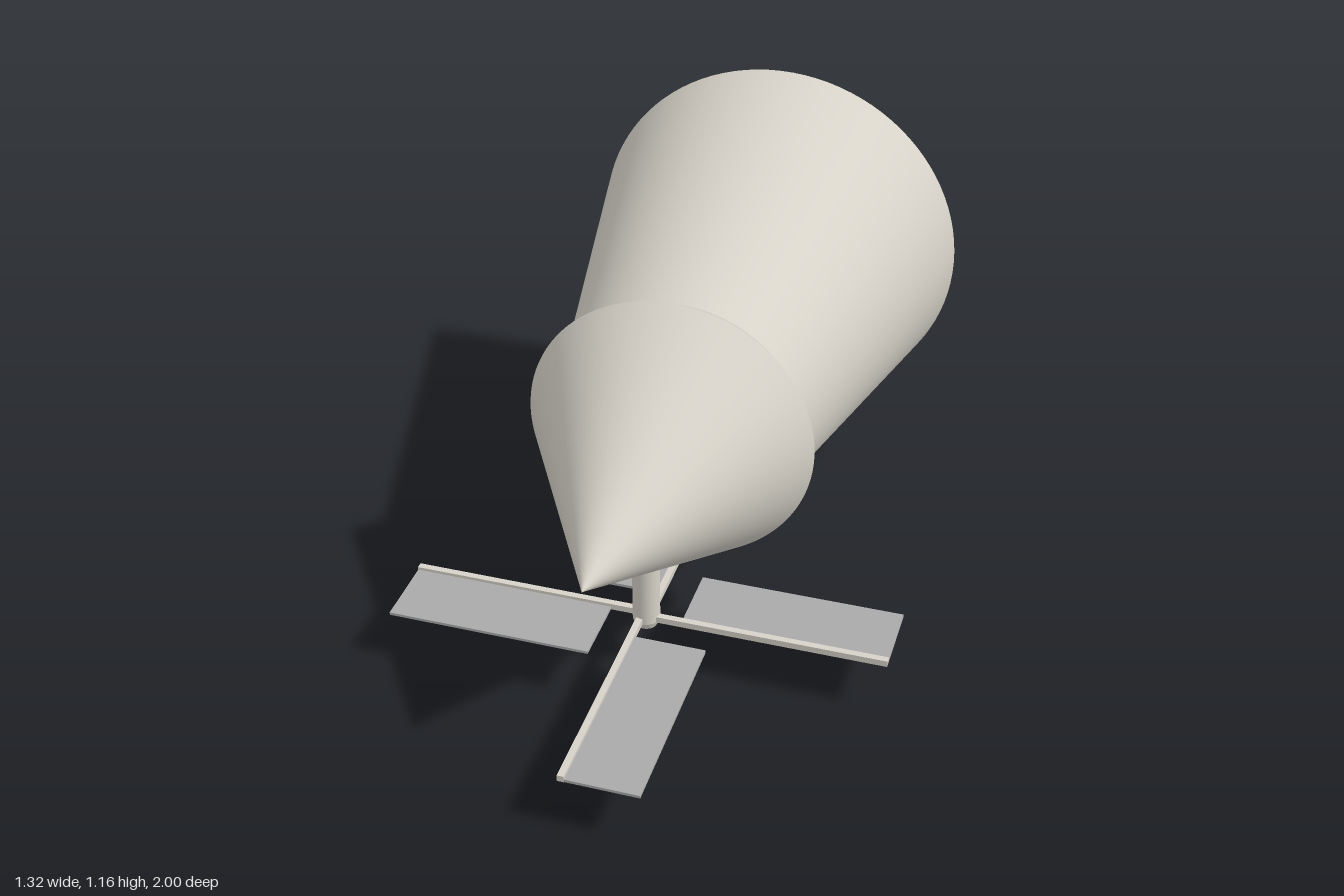
import * as THREE from 'three';
import { toCreasedNormals } from 'three/addons/utils/BufferGeometryUtils.js';

const material = (color) => new THREE.MeshStandardMaterial({ color });
const shell = material(0xd6d2c8);
const panelGrey = material(0xaaaaaa);
const olive = material(0x4a4428);

function add(parent, name, geometry, mat, x = 0, y = 0, z = 0) {
  const mesh = new THREE.Mesh(geometry, mat);
  mesh.name = name;
  mesh.position.set(x, y, z);
  parent.add(mesh);
  return mesh;
}

// Flat plan with a round front (toward +z) and a square back, drawn in (x, -z)
function roundFront(r, back, Type = THREE.Shape) {
  const s = new Type();
  s.moveTo(-r, back);
  s.lineTo(-r, 0.7);
  s.absarc(0, 0.7, r, Math.PI, 2 * Math.PI, false);
  s.lineTo(r, back);
  s.closePath();
  return s;
}

function extrudeUp(shape, depth) {
  const g = new THREE.ExtrudeGeometry(shape, { depth, bevelEnabled: false, curveSegments: 32 });
  return toCreasedNormals(g.rotateX(-Math.PI / 2), 0.4);
}

export function createModel() {
  const model = new THREE.Group();
  model.name = 'model';

  // Tapered body, flared collar and pointed nose turned around the z axis
  const profile = [[0, -1], [0.552, -1], [0.34, 0.035], [0.392, 0.12], [0, 0.83]]
    .map(([r, z]) => new THREE.Vector2(r, z));
  const hull = new THREE.LatheGeometry(profile, 96).rotateX(Math.PI / 2);
  add(model, 'body', toCreasedNormals(hull, 0.3), shell, 0, 0.605, 0);

  // Foot under the rear, with a thin rim around a recessed grille
  const foot = new THREE.Group();
  foot.name = 'foot';
  model.add(foot);
  add(foot, 'footBlock', extrudeUp(roundFront(0.203, 0.99), 0.19), shell, 0, 0.012, 0);
  const rim = roundFront(0.203, 0.99);
  rim.holes.push(roundFront(0.185, 0.972, THREE.Path));
  add(foot, 'footRim', extrudeUp(rim, 0.012), shell);
  add(foot, 'grillePlate', extrudeUp(roundFront(0.185, 0.972), 0.004), olive, 0, 0.008, 0);
  for (let i = 0; i < 18; i++) {
    const z = -0.54 - i * 0.0245;
    const d = Math.max(0, z + 0.7);
    const half = Math.sqrt(0.185 ** 2 - d * d);
    add(foot, 'grilleSlat', new THREE.BoxGeometry(2 * half, 0.004, 0.008), olive, 0, 0.006, z);
  }

  // Rotor hanging below the nose
  const rotor = new THREE.Group();
  rotor.name = 'rotor';
  rotor.position.set(0, 0, 0.34);
  model.add(rotor);
  add(rotor, 'rotorPost', new THREE.CylinderGeometry(0.037, 0.037, 0.26, 32), shell, 0, 0.28, 0);
  add(rotor, 'rotorHub', new THREE.CylinderGeometry(0.037, 0.029, 0.02, 32), shell, 0, 0.14, 0);

  // Four arms, each carrying a flat blade on one side
  for (let i = 0; i < 4; i++) {
    const arm = new THREE.Group();
    arm.name = 'rotorArm';
    arm.rotation.y = i * Math.PI / 2;
    rotor.add(arm);
    add(arm, 'armRod', new THREE.BoxGeometry(0.018, 0.018, 0.66), shell, -0.009, 0.159, 0.33);
    add(arm, 'blade', new THREE.BoxGeometry(0.194, 0.008, 0.56), panelGrey, 0.097, 0.155, 0.38);
  }
  return model;
}
